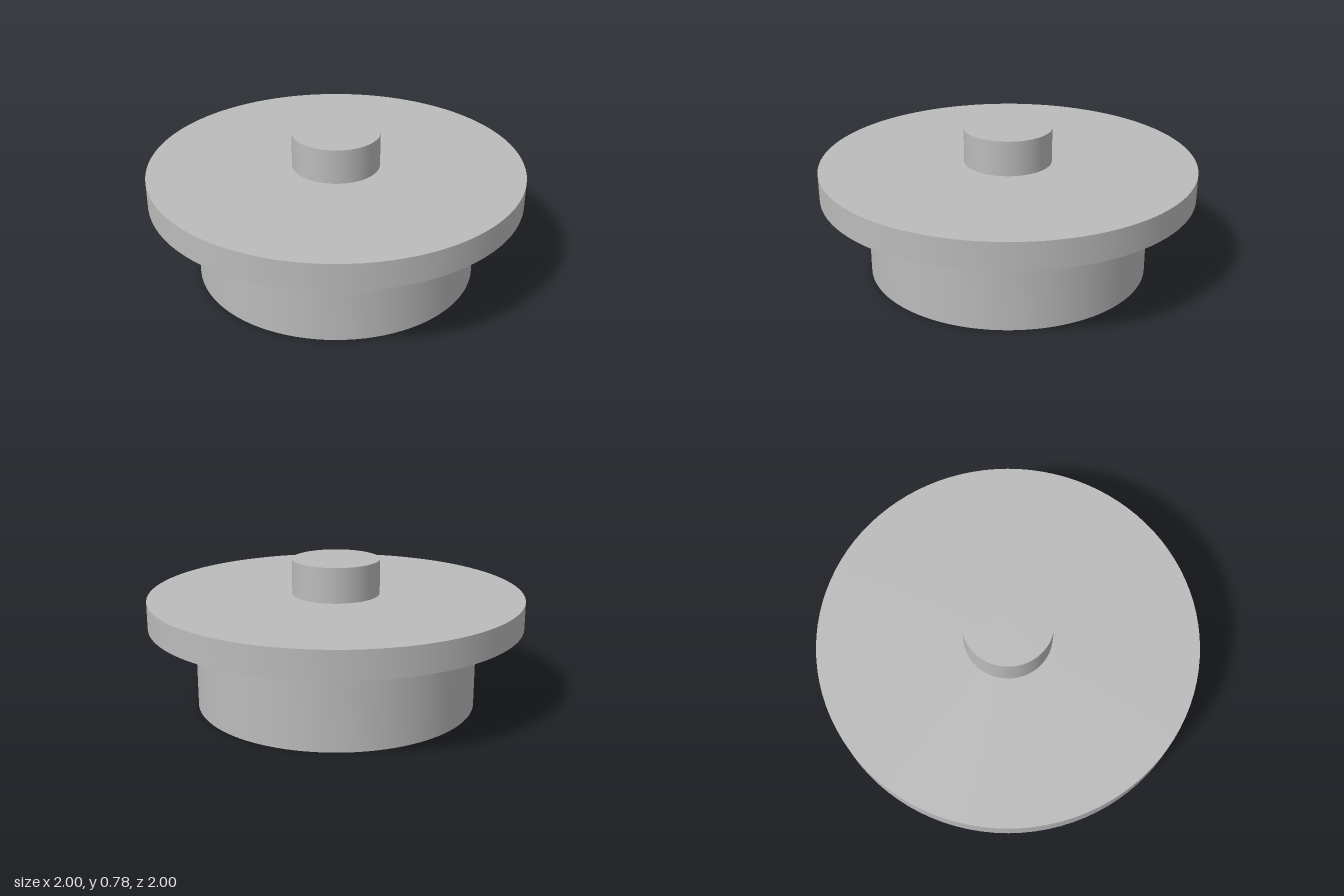
import * as THREE from 'three';
import { toCreasedNormals } from 'three/addons/utils/BufferGeometryUtils.js';

const BODY_R = 0.753, BODY_TOP = 0.45;
const FLANGE_R = 1, FLANGE_TOP = 0.595;
const STUD_R = 0.234, STUD_TOP = 0.782;
const SLOT_HALF_LENGTH = 0.35, SLOT_HALF_WIDTH = 0.06, SLOT_DEPTH = 0.07;

// Outline of the plus-shaped slot, one arm per quarter turn
function crossPoints() {
  const a = SLOT_HALF_LENGTH, w = SLOT_HALF_WIDTH;
  const points = [];
  for (let i = 0; i < 4; i++) {
    for (const [x, y] of [[a, -w], [a, w], [w, w]]) {
      points.push(new THREE.Vector2(x, y).rotateAround(new THREE.Vector2(), i * Math.PI / 2));
    }
  }
  return points;
}

export function createModel() {
  const group = new THREE.Group();
  const grey = new THREE.MeshStandardMaterial({ color: 0xbbbbbb });
  grey.name = 'grey';

  function add(name, geometry, y = 0) {
    const mesh = new THREE.Mesh(geometry, grey);
    mesh.name = name;
    mesh.position.y = y;
    group.add(mesh);
  }

  function disc(name, radius, bottom, top) {
    add(name, new THREE.CylinderGeometry(radius, radius, top - bottom, 96), (bottom + top) / 2);
  }

  // Lower body, with the slot opening in its underside
  const outline = new THREE.Shape().absarc(0, 0, BODY_R, 0, Math.PI * 2);
  outline.holes.push(new THREE.Path(crossPoints()).closePath());
  const body = new THREE.ExtrudeGeometry(outline, { depth: BODY_TOP, bevelEnabled: false, curveSegments: 48 });
  body.rotateX(-Math.PI / 2);
  add('body', toCreasedNormals(body, Math.PI / 6));

  // Floor of the slot, facing down
  const floor = new THREE.ShapeGeometry(new THREE.Shape(crossPoints()));
  floor.rotateX(Math.PI / 2);
  add('slotFloor', floor, SLOT_DEPTH);

  // Wide rim and the small stud on top
  disc('flange', FLANGE_R, BODY_TOP, FLANGE_TOP);
  disc('stud', STUD_R, FLANGE_TOP, STUD_TOP);

  return group;
}
